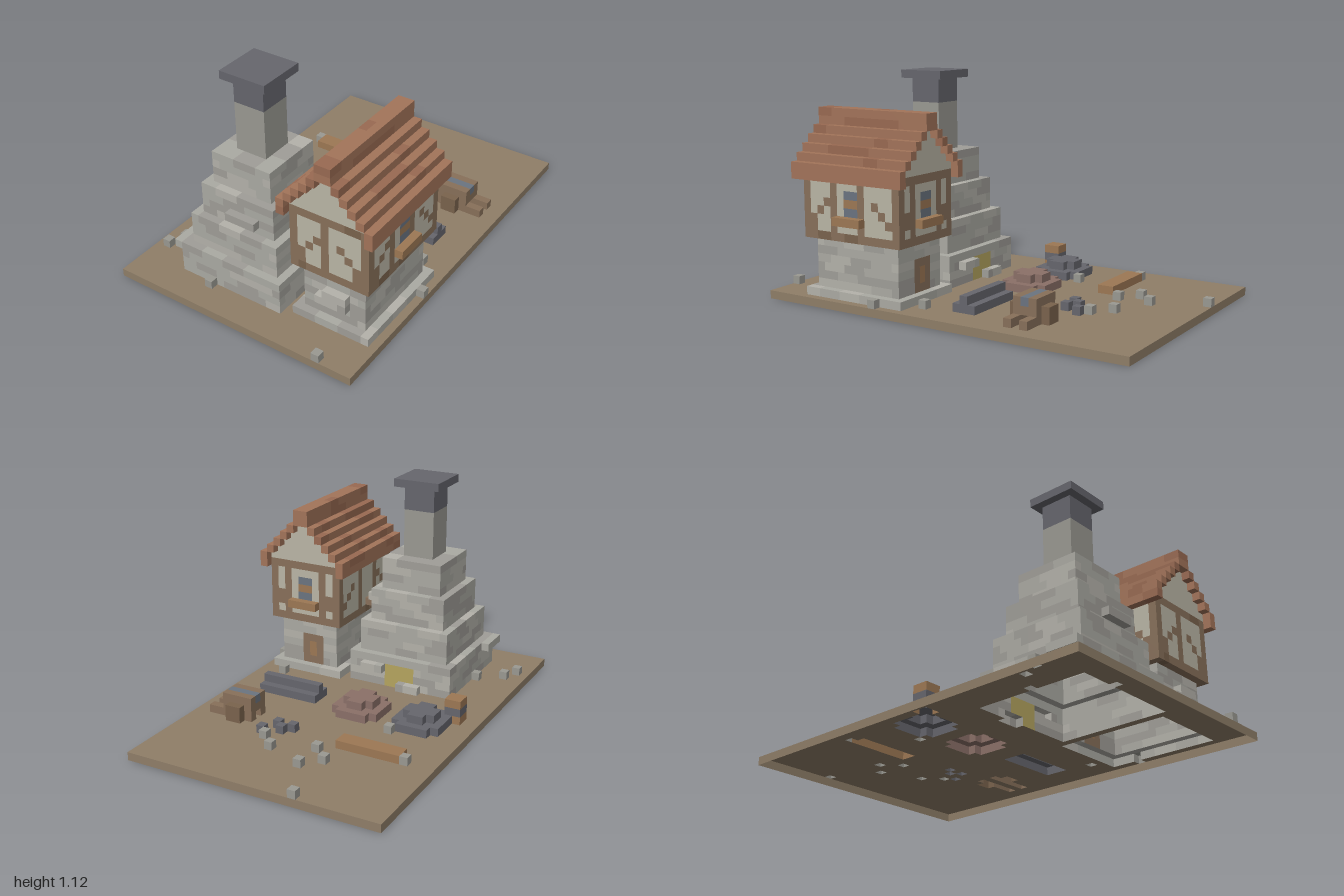
import * as THREE from 'three';

const U = 1 / 24; // size of one cube
const C = {
  earth: 0x8f7e68, stone: 0xabaaa3, stoneDark: 0xa09e98, stoneLight: 0xb4b2aa, shaft: 0x9a9992,
  slate: 0x66666d, plaster: 0xbab6a6, wood: 0x88705a, woodDark: 0x7a634d, tile: 0xa3745a,
  tileDark: 0x996a52, plank: 0x9d7854, glass: 0x6b7480, gold: 0xb5a55f, clay: 0x8b7068,
};

// fixed hash for the patchy masonry
const hash = (a, b, c) => {
  const s = Math.sin(a * 12.99 + b * 78.23 + c * 37.72) * 43758.5;
  return s - Math.floor(s);
};
const masonry = (x, y, z) => {
  const h = hash(Math.floor((x + y) / 3), y, Math.floor((z + y) / 3));
  return h < 0.3 ? C.stoneDark : h > 0.7 ? C.stoneLight : C.stone;
};
const tiles = (x, y, z) => (hash(x, y, Math.floor(z / 2)) < 0.25 ? C.tileDark : C.tile);
const timber = (x, y, z) => (hash(x, y, z) < 0.25 ? C.woodDark : C.wood);

export function createModel() {
  const cells = new Map();
  const key = (x, y, z) => `${x},${y},${z}`;

  // Fill the block from (x0,y0,z0) up to (x1,y1,z1); later blocks repaint earlier ones
  function fill(part, paint, x0, x1, y0, y1, z0, z1) {
    for (let x = x0; x < x1; x++)
      for (let y = y0; y < y1; y++)
        for (let z = z0; z < z1; z++) {
          const color = typeof paint === 'function' ? paint(x, y, z) : paint;
          cells.set(key(x, y, z), { part, color, p: [x, y, z] });
        }
  }

  // Ground slab
  fill('ground', C.earth, -16, 16, 0, 1, -24, 24);

  // Stepped furnace tower with chimney
  for (let i = 0; i < 4; i++)
    fill('furnaceTower', masonry, -10 + i, 4 - i, 1 + 4 * i, 5 + 4 * i, 6 + i, 20 - i);
  fill('furnaceTower', masonry, -4, 0, 10, 11, 18, 19);
  fill('furnaceTower', masonry, -11, -10, 4, 5, 16, 20);
  fill('furnaceTower', masonry, 2, 3, 11, 12, 9, 11);
  fill('furnaceTower', masonry, -1, 2, 3, 4, 5, 6);
  fill('furnaceTower', masonry, -6, -3, 1, 2, 5, 6);
  fill('furnaceMouth', C.gold, -5, -1, 1, 4, 6, 7);
  fill('chimney', C.shaft, -5, -1, 17, 23, 11, 15);
  fill('chimney', C.slate, -5, -1, 23, 26, 11, 15);
  fill('chimneyCap', C.slate, -6, 0, 26, 27, 10, 16);

  // House: plinth and stone storey
  fill('housePlinth', masonry, 5, 15, 1, 2, 5, 19);
  fill('houseStoneStorey', masonry, 6, 14, 1, 8, 6, 18);
  fill('houseStoneStorey', masonry, 8, 12, 4, 5, 18, 19);
  fill('houseStoneStorey', masonry, 9, 12, 5, 6, 18, 19);
  fill('door', C.wood, 8, 11, 2, 6, 6, 7);
  fill('door', C.plank, 9, 10, 3, 5, 6, 7);

  // House: half-timbered storey
  fill('plasterWall', C.plaster, 5, 15, 8, 16, 5, 19);
  for (const y of [8, 15]) fill('timberFrame', timber, 5, 15, y, y + 1, 5, 19);
  for (const x of [5, 14]) for (const z of [5, 18]) fill('timberFrame', C.wood, x, x + 1, 8, 16, z, z + 1);
  fill('timberFrame', C.wood, 9, 10, 8, 16, 18, 19);
  for (const x of [7, 12]) fill('timberFrame', C.wood, x, x + 1, 8, 16, 5, 6);
  for (const x of [5, 14])
    for (const z of [10, 14]) fill('timberFrame', C.wood, x, x + 1, 8, 16, z, z + 1);
  // diagonal braces
  const brace = (x, y, z) => fill('timberFrame', C.wood, x, x + 1, y, y + 1, z, z + 1);
  [[6, 9], [6, 10], [7, 11], [8, 12], [11, 12], [12, 11], [13, 10], [13, 9]].forEach(([x, y]) => brace(x, y, 18));
  for (const x of [5, 14])
    [[17, 9], [17, 10], [16, 11], [15, 12], [8, 12], [7, 11], [6, 10]].forEach(([z, y]) => brace(x, y, z));
  [[6, 11], [6, 10], [13, 11], [13, 10]].forEach(([x, y]) => brace(x, y, 5));

  // Windows with sills, and a beam end on the tower side
  fill('sideWindow', C.glass, 14, 15, 11, 14, 11, 13);
  fill('sideWindow', C.plank, 14, 15, 12, 13, 11, 13);
  fill('sideSill', C.plank, 15, 16, 10, 11, 10, 14);
  fill('backWindow', C.glass, 9, 11, 11, 14, 5, 6);
  fill('backWindow', C.plank, 9, 11, 12, 13, 5, 6);
  fill('backSill', C.plank, 8, 12, 10, 11, 4, 5);
  fill('beamEnd', C.wood, 3, 5, 9, 10, 12, 13);

  // Gables and stepped roof
  for (let i = 0; i < 5; i++) {
    fill('gable', C.plaster, 5 + i, 15 - i, 16 + i, 17 + i, 5, 19);
    for (const x of [4 + i, 15 - i]) fill('roof', tiles, x, x + 1, 16 + i, 17 + i, 4, 20);
  }
  for (const x of [4, 15]) fill('roofEave', tiles, x, x + 1, 15, 16, 4, 20);
  fill('roofRidge', tiles, 9, 11, 21, 23, 4, 20);

  // Round heaps of ore and clay
  for (const [part, color, x] of [['oreHeap', C.slate, -13], ['clayHeap', C.clay, -5]]) {
    fill(part, color, x, x + 6, 1, 2, -4, 0);
    fill(part, color, x + 1, x + 5, 1, 2, -5, 1);
    fill(part, color, x + 1, x + 5, 2, 3, -3, -1);
    fill(part, color, x + 2, x + 4, 2, 3, -4, 0);
  }

  // Barrel, metal bars and log
  fill('barrel', C.plank, -14, -12, 1, 4, 0, 2);
  fill('barrel', C.slate, -14, -12, 2, 3, 0, 2);
  fill('metalBars', C.slate, 4, 12, 1, 2, -3, 0);
  fill('metalBars', C.slate, 4, 12, 2, 3, -2, -1);
  fill('log', C.plank, -12, -4, 1, 2, -12, -10);

  // Handcart
  fill('cartBody', C.wood, 8, 12, 2, 4, -11, -8);
  fill('cartBody', C.glass, 8, 12, 3, 4, -10, -9);
  for (const z of [-12, -8]) fill('cartWheel', C.woodDark, 9, 11, 1, 3, z, z + 1);
  for (const z of [-11, -9]) fill('cartHandle', C.wood, 8, 14, 1, 2, z, z + 1);

  // Loose lumps and stones
  [[2, -11], [3, -12], [4, -11], [5, -13]].forEach(([x, z]) => fill('oreLump', C.slate, x, x + 1, 1, 2, z, z + 1));
  [[-6, -24], [-3, -18], [-5, -16], [-3, -14], [2, -16], [4, -14], [-13, -12], [-8, -6], [12, 3], [-15, 17],
    [-14, 15], [-6, 20], [11, 23], [-11, 13], [15, 8]].forEach(([x, z]) => fill('looseStone', C.shaft, x, x + 1, 1, 2, z, z + 1));

  return buildMeshes(cells, key);
}

// Skin the cubes: only faces next to empty space, open on the underside of the slab
function buildMeshes(cells, key) {
  const parts = new Map();
  for (const { part, color, p } of cells.values()) {
    if (!parts.has(part)) parts.set(part, new Map());
    const byColor = parts.get(part);
    if (!byColor.has(color)) byColor.set(color, []);
    const out = byColor.get(color);
    for (let d = 0; d < 3; d++)
      for (const s of [-1, 1]) {
        const n = [...p];
        n[d] += s;
        if (n[1] < 0 || cells.has(key(...n))) continue;
        const corner = (a, b) => {
          const q = [...p];
          if (s > 0) q[d] += 1;
          q[(d + 1) % 3] += a;
          q[(d + 2) % 3] += b;
          return q.map((v) => v * U);
        };
        const c = [corner(0, 0), corner(1, 0), corner(1, 1), corner(0, 1)];
        if (s < 0) c.reverse();
        for (const i of [0, 1, 2, 0, 2, 3]) out.push(...c[i]);
      }
  }
  const model = new THREE.Group();
  model.name = 'furnaceYard';
  for (const [part, byColor] of parts) {
    const group = new THREE.Group();
    group.name = part;
    for (const [color, pos] of byColor) {
      if (!pos.length) continue;
      const geo = new THREE.BufferGeometry();
      geo.setAttribute('position', new THREE.Float32BufferAttribute(pos, 3));
      geo.computeVertexNormals();
      const mesh = new THREE.Mesh(geo, new THREE.MeshStandardMaterial({ color, side: THREE.DoubleSide }));
      mesh.name = part;
      group.add(mesh);
    }
    model.add(group);
  }
  return model;
}
